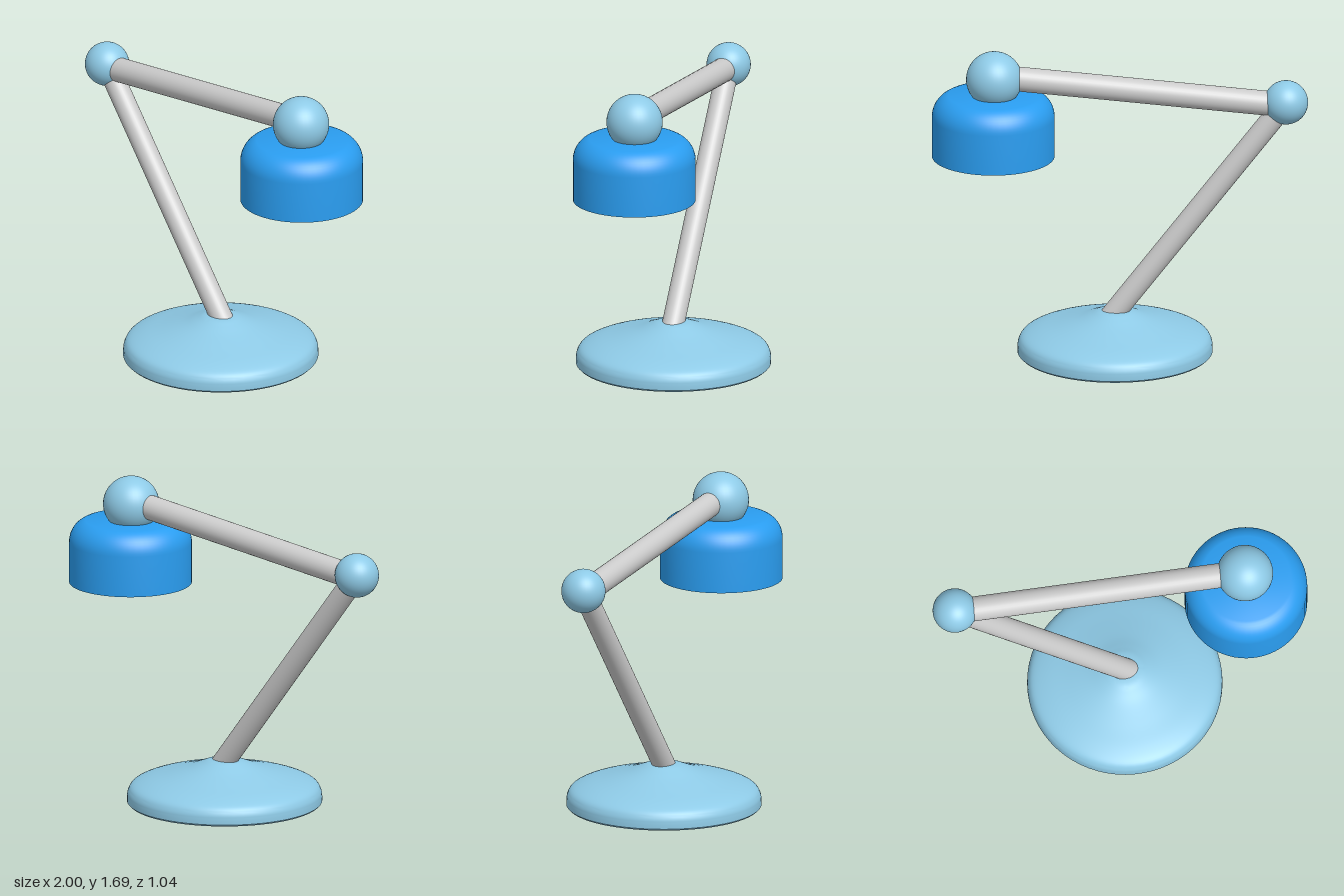
import * as THREE from 'three';
import { toCreasedNormals } from 'three/addons/utils/BufferGeometryUtils.js';

const paleBlue = new THREE.MeshStandardMaterial({ color: 0x8ecae6 });
const brightBlue = new THREE.MeshStandardMaterial({ color: 0x2a9df0 });
const grey = new THREE.MeshStandardMaterial({ color: 0xcccccc });

const v2 = (x, y) => new THREE.Vector2(x, y);

function addMesh(group, name, geometry, material, x = 0, y = 0) {
  const mesh = new THREE.Mesh(geometry, material);
  mesh.name = name;
  mesh.position.set(x, y, 0);
  group.add(mesh);
  return mesh;
}

// Turned solid: profile runs from the bottom axis outwards and up
function turned(points) {
  return toCreasedNormals(new THREE.LatheGeometry(points, 64), 0.6);
}

// Straight round arm between two points in the z = 0 plane
function addArm(group, name, radius, x1, y1, x2, y2) {
  const dir = new THREE.Vector3(x2 - x1, y2 - y1, 0);
  const geometry = new THREE.CylinderGeometry(radius, radius, dir.length(), 32);
  const arm = addMesh(group, name, geometry, grey, (x1 + x2) / 2, (y1 + y2) / 2);
  arm.quaternion.setFromUnitVectors(new THREE.Vector3(0, 1, 0), dir.normalize());
}

export function createModel() {
  const lamp = new THREE.Group();
  lamp.name = 'deskLamp';

  // Base: flat underside, rounded rim, concave slope up to the arm
  const slope = new THREE.SplineCurve([
    v2(0.52, 0.03), v2(0.515, 0.065), v2(0.49, 0.1), v2(0.42, 0.13), v2(0.31, 0.16),
    v2(0.2, 0.192), v2(0.13, 0.218), v2(0.08, 0.235), v2(0, 0.242),
  ]).getPoints(40);
  slope[slope.length - 1].x = 0;
  addMesh(lamp, 'base', turned([v2(0, 0), v2(0.51, 0), v2(0.52, 0.01), ...slope]), paleBlue, 0.025);

  // Arms and ball joints
  addArm(lamp, 'lowerArm', 0.06, 0.047, 0.2, -0.885, 1.4);
  addArm(lamp, 'upperArm', 0.066, -0.885, 1.385, 0.668, 1.55);
  addMesh(lamp, 'elbowJoint', new THREE.SphereGeometry(0.118, 40, 28), paleBlue, -0.885, 1.4);
  addMesh(lamp, 'headJoint', new THREE.SphereGeometry(0.15, 40, 28), paleBlue, 0.668, 1.535);

  // Shade: hollow cup, open below, with a rounded shoulder
  const shoulder = (r, y, w, h) => Array.from({ length: 11 }, (_, i) => {
    const a = (i / 10) * Math.PI * 0.42;
    return v2(r - w * (1 - Math.cos(a)), y + h * Math.sin(a));
  });
  const outside = [v2(0.327, 0), ...shoulder(0.327, 0.22, 0.115, 0.124), v2(0.0, 0.34)];
  const inside = [v2(0.305, 0), ...shoulder(0.305, 0.21, 0.115, 0.114), v2(0, 0.32)].reverse();
  addMesh(lamp, 'shade', turned([...inside, ...outside]), brightBlue, 0.673, 1.105);

  return lamp;
}
